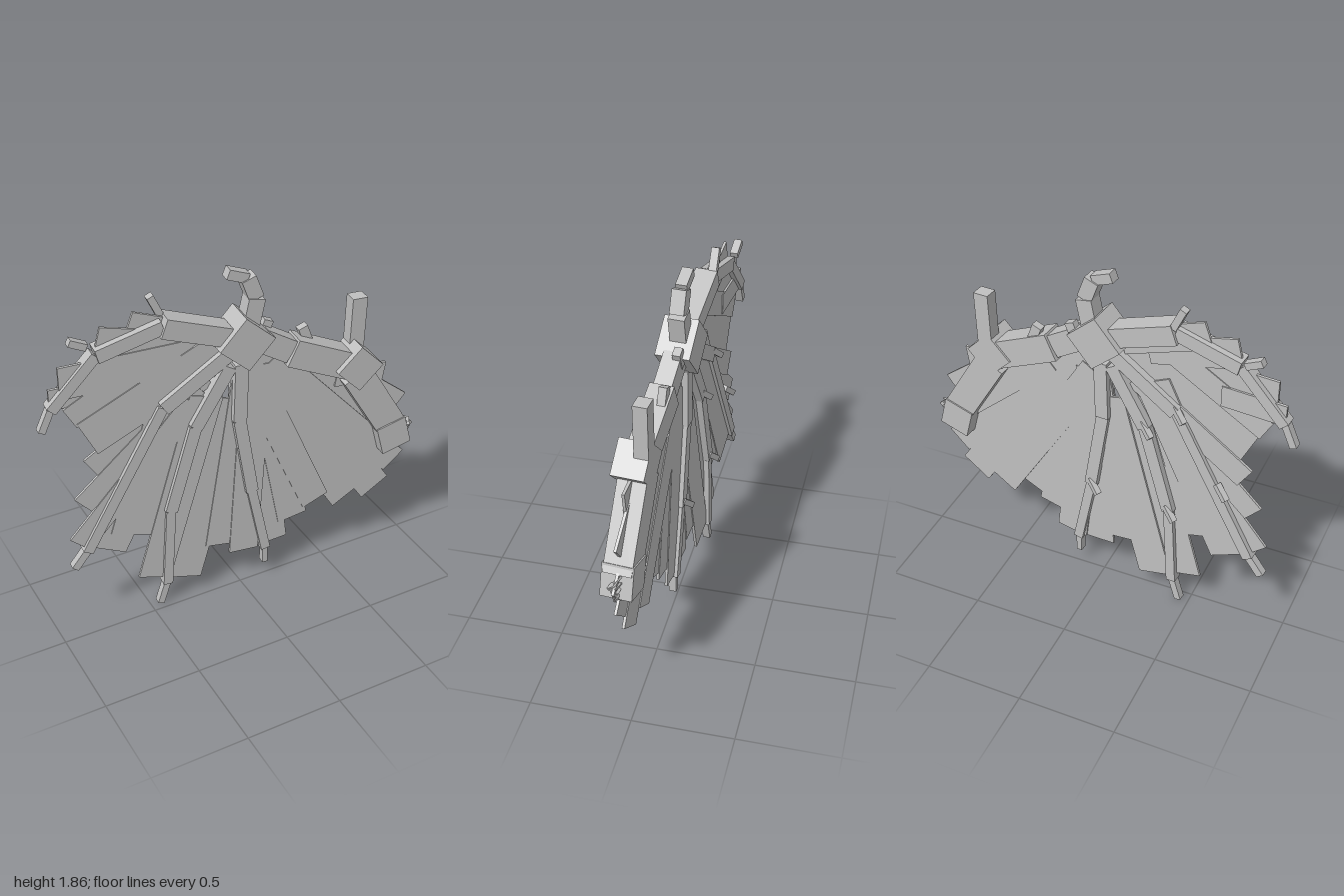
import * as THREE from 'three';

// Blocky bone wing with a fan of thin membrane plates. Layout numbers are hundredths of a unit.
const grey = new THREE.MeshStandardMaterial({ color: 0xc0c0c0 });

export function createModel() {
  const model = new THREE.Group();
  const wing = new THREE.Group();
  wing.name = 'wing';
  wing.rotation.y = -0.09; // the wing sweeps slightly forward towards +x
  wing.position.z = -0.01;
  model.add(wing);

  function block(name, x, y, z, w, h, d, angle) {
    const m = new THREE.Mesh(new THREE.BoxGeometry(w / 100, h / 100, d / 100), grey);
    m.name = name;
    m.position.set(x / 100, y / 100, z / 100);
    m.rotation.z = angle;
    wing.add(m);
    return m;
  }

  // Box running from one point to another
  function bar(name, [ax, ay], [bx, by], width, depth, z = 0) {
    const dx = bx - ax, dy = by - ay;
    return block(name, (ax + bx) / 2, (ay + by) / 2, z,
      Math.hypot(dx, dy), width, depth, Math.atan2(dy, dx));
  }

  // Chain of bones, each with its own width and depth
  function chain(name, pts, widths, depths, z = 0) {
    widths.forEach((w, i) => bar(name + (i + 1), pts[i], pts[i + 1], w, depths[i], z));
  }

  // Joints
  block('hubJoint', 1, 149, 0, 20, 20, 17, -0.73);
  block('elbowJoint', 61.5, 121.5, 1, 17.5, 17.5, 16, 0.78);
  block('endJoint', 84, 75, 0, 16.5, 16.5, 15.5, 0.26);

  // Arm bones
  chain('upperArm', [[10, 147], [26, 137], [60, 121]], [12, 14.5], [9, 12]);
  bar('forearm', [61, 117], [85, 77], 16, 14);
  chain('leadingArm', [[-7, 153], [-39, 165], [-71, 157], [-94, 133], [-99, 122]],
    [10, 7, 5.5, 3.5], [11, 8, 6, 4]);

  // Fingers
  chain('outerFinger', [[-2, 146], [-40, 121], [-82, 47], [-89, 38]], [7.5, 5.5, 4], [8, 6, 4]);
  chain('middleFinger', [[-6, 136], [-24, 106], [-38, 59], [-41, 13], [-45, 0.5]],
    [7, 6.5, 5, 3.5], [8, 7, 6, 4]);
  chain('innerFinger', [[0, 136], [-1, 104], [6, 59], [14, 19], [14, 9]],
    [7, 6.5, 5, 3], [8, 7, 6, 4]);

  // Hooked horn and elbow spur
  chain('horn', [[5, 155], [8, 169], [4, 180], [-6, 184]], [8.5, 7.5, 5], [8, 7, 5.5], -1);
  bar('elbowSpur', [63, 122], [64, 156], 8, 7, -3.5);

  // Small thorns along the top edge
  [[[12, 145], [16, 154], 5], [[38, 135], [34, 146], 5],
    [[-38, 168], [-43, 179], 3.5], [[-74, 160], [-82, 164], 3.5]]
    .forEach(([a, b, w]) => bar('topThorn', a, b, w, 4, -3));

  // Thorns behind the finger joints
  [[-41, 121], [-65, 84], [-24, 106], [-38, 59], [5, 59]].forEach(([x, y]) => {
    const t = bar('backThorn', [x + 2, y + 3], [x - 5, y - 3], 3, 3, -4);
    t.rotation.y = -0.4;
  });

  // Membrane plates: outer edge from (ax, ay) to (bx, by), running inward by len
  [
    [-52, 174, -57, 161, 48], [-68, 170, -72, 155, 48], [-89, 154, -89, 137, 59],
    [-94, 143, -94, 132, 32], [-88, 131, -82, 120, 64], [-82, 122, -73, 103, 75],
    [-80, 100, -73, 89, 70], [-86, 79, -78, 70, 80], [-90, 56, -80, 47, 91],
    [-80, 48, -62, 39, 100], [-69, 53, -47, 46, 70], [-56, 21, -39, 16, 107],
    [-40, 15, -22, 10, 107], [-19, 29, -6, 27, 107], [-6, 21, 10, 20, 112],
    [10, 20, 27, 22, 107], [22, 32, 38, 35, 107], [36, 38, 50, 44, 102],
    [54, 33, 67, 41, 107], [71, 34, 86, 44, 118], [83, 49, 94, 59, 107],
    [89, 64, 99, 75, 85], [85, 85, 93, 95, 59], [78, 105, 80, 117, 27],
  ].forEach(([ax, ay, bx, by, len], i) => {
    const w = Math.hypot(bx - ax, by - ay);
    const nx = -(by - ay) / w, ny = (bx - ax) / w;
    block('membranePlate', (ax + bx) / 2 + nx * len / 2, (ay + by) / 2 + ny * len / 2,
      ((i % 3) - 1) * 0.5, w, len, 1.4, Math.atan2(by - ay, bx - ax));
  });

  // Twisted slivers bunched at the end joint
  for (let i = 0; i < 5; i++) {
    const s = block('endSliver', 92, 75 + (i - 2) * 1.5, 0, 9, 5, 0.8, -0.4 + i * 0.2);
    s.rotation.x = i * 0.6;
  }

  return model;
}
